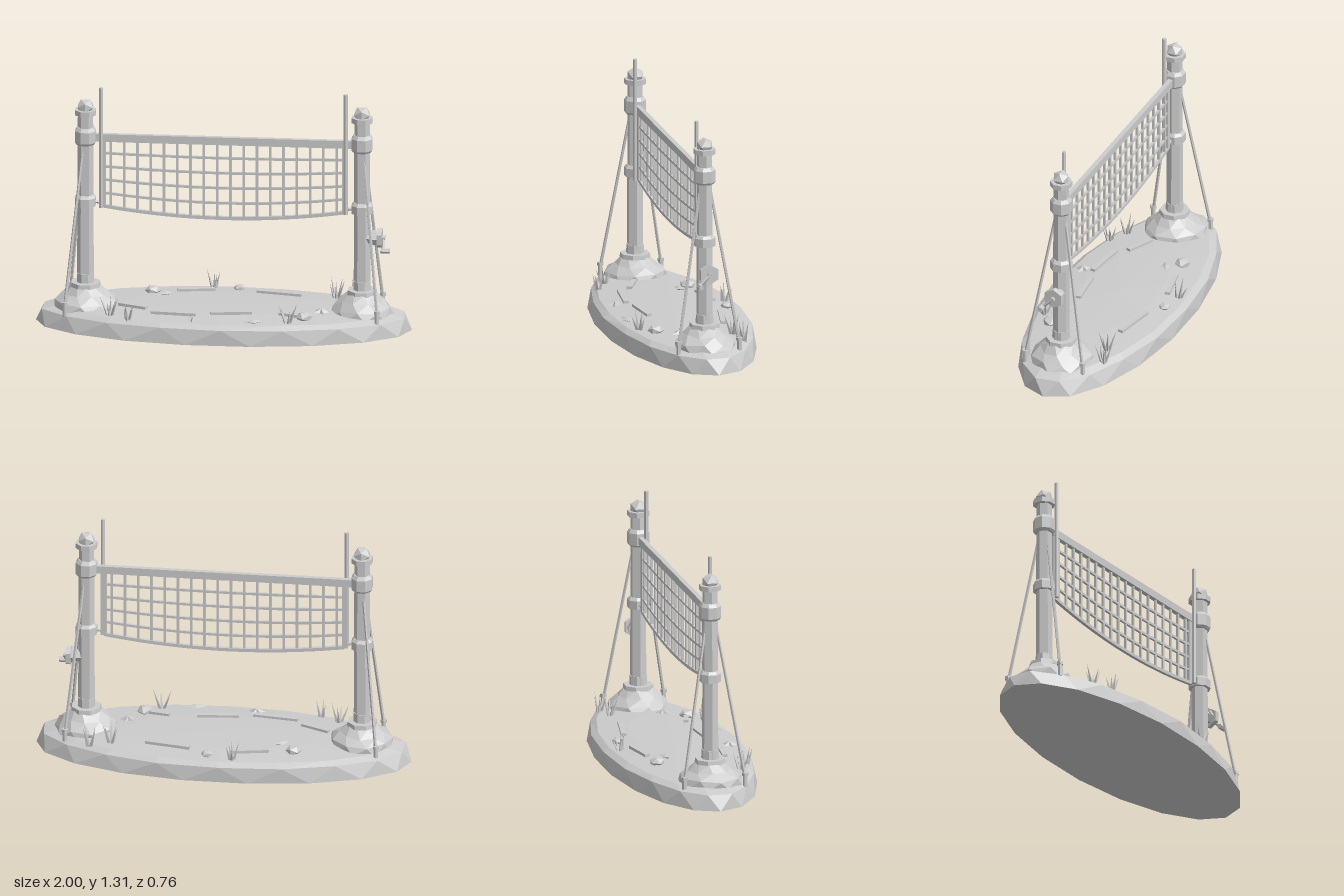
import * as THREE from 'three';

const stone = new THREE.MeshStandardMaterial({ color: 0xcccccc });
stone.name = 'pale grey';
const V = (x, y, z) => new THREE.Vector3(x, y, z);
const POST_X = 0.735, MID_Z = 0.012;

// small seeded noise, 0..1
let seed = 7;
const rnd = () => (seed = (seed * 16807) % 2147483647) / 2147483647;

// faceted mesh added to a parent
function add(parent, name, geo, pos = V(0, 0, 0)) {
  const g = geo.index ? geo.toNonIndexed() : geo;
  g.computeVertexNormals();
  const m = new THREE.Mesh(g, stone);
  m.name = name;
  m.position.copy(pos);
  parent.add(m);
  return m;
}

// skin over closed rings of points, listed from bottom to top
function loft(rings) {
  const p = [], n = rings[0].length;
  const tri = (a, b, c) => {
    if (a.distanceTo(b) > 1e-6 && b.distanceTo(c) > 1e-6 && a.distanceTo(c) > 1e-6)
      for (const v of [a, b, c]) p.push(v.x, v.y, v.z);
  };
  for (let k = 0; k + 1 < rings.length; k++)
    for (let i = 0; i < n; i++) {
      const j = (i + 1) % n, b = rings[k], t = rings[k + 1];
      tri(b[i], t[i], b[j]);
      tri(b[j], t[i], t[j]);
    }
  const g = new THREE.BufferGeometry();
  g.setAttribute('position', new THREE.Float32BufferAttribute(p, 3));
  return g;
}
function ring(n, rx, rz, y, turn = 0, noise = 0) {
  return Array.from({ length: n }, (_, i) => {
    const a = ((i + turn) / n) * Math.PI * 2, s = 1 + (rnd() - 0.5) * noise;
    return V(Math.cos(a) * rx * s, y + (rnd() - 0.5) * noise * 0.1, Math.sin(a) * rz * s);
  });
}

// straight bar with n sides between two points
function bar(parent, name, a, b, r, n = 6, r2 = r) {
  const d = b.clone().sub(a);
  const m = add(parent, name, new THREE.CylinderGeometry(r2, r, d.length(), n), a.clone().add(b).multiplyScalar(0.5));
  m.quaternion.setFromUnitVectors(V(0, 1, 0), d.normalize());
  return m;
}
// rectangular bar lying along a line
function plank(parent, name, a, b, h, w) {
  const d = b.clone().sub(a);
  const m = add(parent, name, new THREE.BoxGeometry(d.length(), h, w), a.clone().add(b).multiplyScalar(0.5));
  m.quaternion.setFromUnitVectors(V(1, 0, 0), d.normalize());
  return m;
}
const groundY = (x, z) => 0.122 - 0.02 * ((x / 0.9) ** 2 + (z / 0.35) ** 2);

function makeIsland(parent) {
  const g = loft([
    ring(18, 0, 0, 0),
    ring(18, 1, 0.385, 0),
    ring(18, 0.965, 0.375, 0.082, 0.45, 0.03),
    ring(18, 0.89, 0.345, 0.102, 0.5, 0.02),
    ring(18, 0.5, 0.2, 0.116, 0.5),
    ring(18, 0, 0, 0.122),
  ]);
  add(parent, 'island', g);
}

// one post with its mound, collars, finial and guy ropes; s = side
function makePost(s) {
  const post = new THREE.Group();
  post.name = s > 0 ? 'leftPost' : 'rightPost';
  post.position.set(s * POST_X, 0, MID_Z);
  add(post, 'mound', loft([
    ring(9, 0.172, 0.172, 0.085, 0, 0.1),
    ring(9, 0.16, 0.16, 0.13, 0.35, 0.12),
    ring(9, 0.115, 0.115, 0.165, 0.7, 0.14),
    ring(9, 0.075, 0.075, 0.202, 1, 0.1),
    ring(9, 0, 0, 0.204),
  ]));
  const drum = (name, y0, y1, r0, r1, n) => {
    const m = add(post, name, new THREE.CylinderGeometry(r1, r0, y1 - y0, n), V(0, (y0 + y1) / 2, 0));
    m.rotation.y = n === 8 ? Math.PI / 8 : Math.PI / 6;
  };
  drum('pole', 0.15, 1.16, 0.045, 0.041, 6);
  drum('footCollar', 0.198, 0.222, 0.083, 0.08, 8);
  drum('footSleeve', 0.222, 0.27, 0.048, 0.046, 8);
  drum('lowerCollar', 0.645, 0.69, 0.059, 0.059, 8);
  drum('lowerCollarTop', 0.69, 0.705, 0.059, 0.046, 8);
  drum('upperCollarBase', 0.985, 0.997, 0.05, 0.059, 8);
  drum('upperCollar', 0.997, 1.06, 0.059, 0.059, 8);
  drum('upperCollarTop', 1.06, 1.078, 0.059, 0.046, 8);
  drum('cap', 1.148, 1.176, 0.059, 0.059, 8);
  add(post, 'finial', new THREE.IcosahedronGeometry(0.048, 0), V(0, 1.192, 0)).scale.y = 0.95;

  for (const f of [1, -1]) {
    const foot = V(s * 0.095, 0.125, f * 0.166);
    bar(post, 'guyRope', V(s * 0.012, 0.945, f * 0.03), foot, 0.008, 5, 0.009);
    bar(post, 'stake', V(foot.x, 0.075, foot.z), V(foot.x, 0.142, foot.z), 0.013, 6);
    bar(post, 'stakeHead', V(foot.x, 0.138, foot.z), V(foot.x, 0.155, foot.z), 0.018, 6);
  }
  return post;
}

function makeNet() {
  const net = new THREE.Group();
  net.name = 'net';
  net.position.z = MID_Z;
  const sag = (x, t) => 1.01 - t * (0.365 + 0.05 * (1 - (x / 0.64) ** 2));
  const at = (x, t) => V(x, sag(x, t), 0);
  plank(net, 'topTape', V(-0.69, 1.023, 0), V(0.69, 1.023, 0), 0.042, 0.026);
  const cols = 17, step = 1.2 / cols;
  for (let i = 0; i <= cols; i++) {
    const x = -0.6 + i * step;
    plank(net, 'verticalCord', at(x, 0), at(x, 1), 0.013, 0.012);
  }
  for (let k = 1; k <= 5; k++)
    for (let i = -1; i <= cols; i++) {
      const x0 = Math.max(-0.64, -0.6 + i * step), x1 = Math.min(0.64, -0.6 + (i + 1) * step);
      plank(net, k === 5 ? 'bottomCord' : 'horizontalCord', at(x0, k / 5), at(x1, k / 5), k === 5 ? 0.018 : 0.013, k === 5 ? 0.018 : 0.012);
    }
  for (const s of [1, -1]) {
    plank(net, 'sideTape', V(s * 0.643, 0.64, 0), V(s * 0.643, 1.01, 0), 0.03, 0.018);
    bar(net, 'antenna', V(s * 0.65, 0.64, 0.022), V(s * 0.65, 1.305, 0.022), 0.012, 6);
    bar(net, 'lowerTie', V(s * 0.64, 0.66, 0), V(s * 0.7, 0.67, 0), 0.009, 5);
  }
  return net;
}

function makeWinch() {
  const w = new THREE.Group();
  w.name = 'winch';
  w.position.set(0, 0.51, MID_Z);
  bar(w, 'winchMount', V(0.76, 0, 0), V(0.8, 0, 0), 0.032, 6);
  bar(w, 'winchDrum', V(0.79, 0, 0), V(0.822, 0, 0), 0.04, 6);
  bar(w, 'winchPlate', V(0.815, 0, 0), V(0.842, 0, 0), 0.055, 6).rotateY(Math.PI / 2);
  bar(w, 'axle', V(0.84, 0, 0), V(0.858, 0, 0), 0.014, 6);
  plank(w, 'crankArm', V(0.85, 0.005, -0.005), V(0.85, -0.055, 0.056), 0.012, 0.014);
  bar(w, 'crankHandle', V(0.838, -0.055, 0.056), V(0.888, -0.055, 0.056), 0.014, 6);
  return w;
}

// five-armed starfish: a low cone with alternate rim radii
function starfish() {
  const g = new THREE.ConeGeometry(1, 0.025, 10);
  const p = g.attributes.position;
  for (let i = 0; i < p.count; i++) {
    const x = p.getX(i), z = p.getZ(i);
    const k = Math.round((Math.atan2(x, z) / Math.PI) * 5 + 10);
    const r = k % 2 ? 0.018 : 0.046;
    p.setXYZ(i, x * r, p.getY(i), z * r);
  }
  return g;
}

function makeDetails() {
  const d = new THREE.Group();
  d.name = 'groundDetails';
  const on = (x, z, up = 0) => V(x, groundY(x, z) + up, z);
  // boundary strips
  for (const [x0, z0, x1, z1] of [
    [-0.55, 0.065, -0.4, 0.13], [-0.37, 0.19, -0.13, 0.217], [-0.055, 0.19, 0.165, 0.167],
    [0.31, 0.16, 0.43, 0.192], [-0.265, -0.205, -0.07, -0.242], [0.155, -0.223, 0.395, -0.178],
  ]) plank(d, 'courtStrip', on(x0, z0, 0.006), on(x1, z1, 0.006), 0.016, 0.028);
  // rocks
  for (const [x, z, r] of [[-0.395, -0.187, 0.043], [0.055, -0.283, 0.032], [0.445, 0.203, 0.045]]) {
    const m = add(d, 'rock', new THREE.IcosahedronGeometry(r, 0), on(x, z, 0.008));
    m.scale.y = 0.65;
    m.rotation.y = x * 9;
  }
  for (const [x, z, a] of [[0.525, 0.09, 0.3], [-0.14, 0.275, 0]])
    add(d, 'starfish', starfish(), on(x, z, 0.01)).rotation.y = a;
  // shells
  for (const [x, z, l, a] of [[0.185, 0.295, 0.06, 0.15], [-0.32, -0.122, 0.045, 0.5]]) {
    const m = add(d, 'shell', new THREE.OctahedronGeometry(1, 0), on(x, z, 0.008));
    m.scale.set(l, 0.012, l * 0.48);
    m.rotation.y = a;
  }
  // grass tufts
  for (const [x, z] of [[-0.585, 0.22], [-0.485, 0.275], [0.365, 0.272], [0.58, -0.185], [0.69, -0.215], [-0.08, -0.305]])
    for (let i = 0; i < 5; i++) {
      const a = (i / 5) * Math.PI * 2 + rnd(), lean = 0.02 + rnd() * 0.035;
      const cx = Math.cos(a), cz = Math.sin(a);
      bar(d, 'grassBlade', on(x + cx * 0.01, z + cz * 0.01, -0.01),
        on(x + cx * lean, z + cz * lean, 0.065 + rnd() * 0.05), 0.01, 3, 0);
    }
  return d;
}

export function createModel() {
  const model = new THREE.Group();
  model.name = 'beachNetCourt';
  makeIsland(model);
  model.add(makePost(1), makePost(-1), makeNet(), makeWinch(), makeDetails());
  return model;
}
